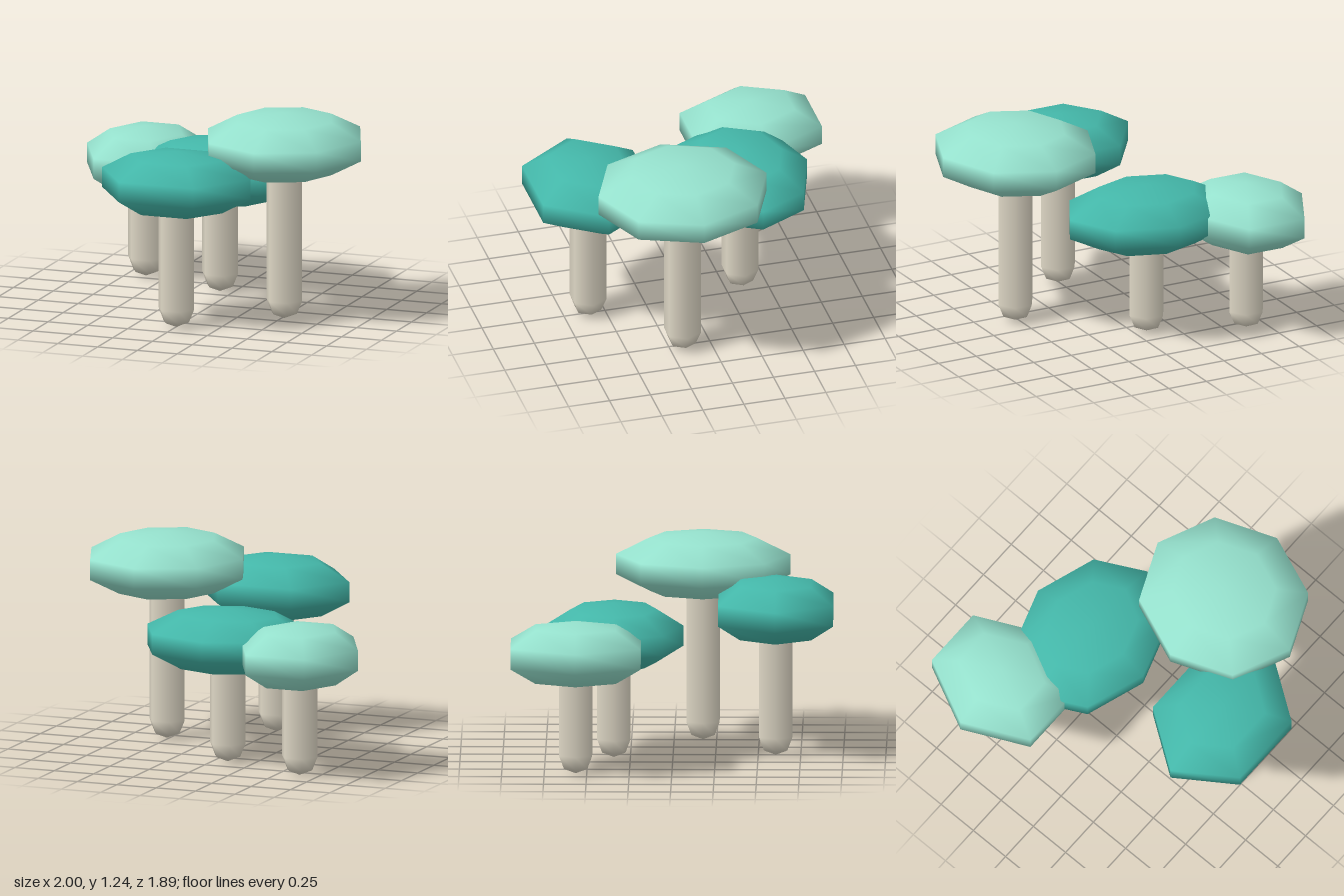
import * as THREE from 'three';

const mint = new THREE.MeshStandardMaterial({ color: 0x96e2ce });
mint.name = 'mint';
const teal = new THREE.MeshStandardMaterial({ color: 0x44b8aa });
teal.name = 'teal';
const cream = new THREE.MeshStandardMaterial({ color: 0xdfd8c6 });
cream.name = 'cream';

const STEM_RADIUS = 0.1125;
const STEM_BASE = 0.01;
const CAP_HALF_HEIGHT = 0.195;

// One flattened low-poly cap on a round-ended six-sided stem
function makeMushroom(name, { x, z, y, rx, rz, sides, material }) {
  const group = new THREE.Group();
  group.name = name;
  group.position.set(x, 0, z);

  const cap = new THREE.Mesh(new THREE.SphereGeometry(1, sides, 5), material);
  cap.name = 'cap';
  cap.scale.set(rx, CAP_HALF_HEIGHT, rz);
  cap.position.y = y;

  // The stem ends inside the cap
  const height = y + 0.08 - STEM_BASE;
  const stem = new THREE.Mesh(
    new THREE.CapsuleGeometry(STEM_RADIUS, height - 2 * STEM_RADIUS, 2, 6), cream);
  stem.name = 'stem';
  stem.position.y = STEM_BASE + height / 2;

  group.add(cap, stem);
  return group;
}

export function createModel() {
  const model = new THREE.Group();
  model.name = 'mushroomCluster';
  model.add(
    makeMushroom('tallMushroom', { x: 0.515, z: 0.17, y: 1.055, rx: 0.505, rz: 0.539, sides: 8, material: mint }),
    makeMushroom('frontMushroom', { x: 0, z: 0.603, y: 0.876, rx: 0.489, rz: 0.41, sides: 6, material: teal }),
    makeMushroom('middleMushroom', { x: -0.083, z: -0.347, y: 0.735, rx: 0.537, rz: 0.429, sides: 8, material: teal }),
    makeMushroom('backMushroom', { x: -0.63, z: -0.565, y: 0.721, rx: 0.389, rz: 0.464, sides: 6, material: mint }),
  );
  return model;
}
